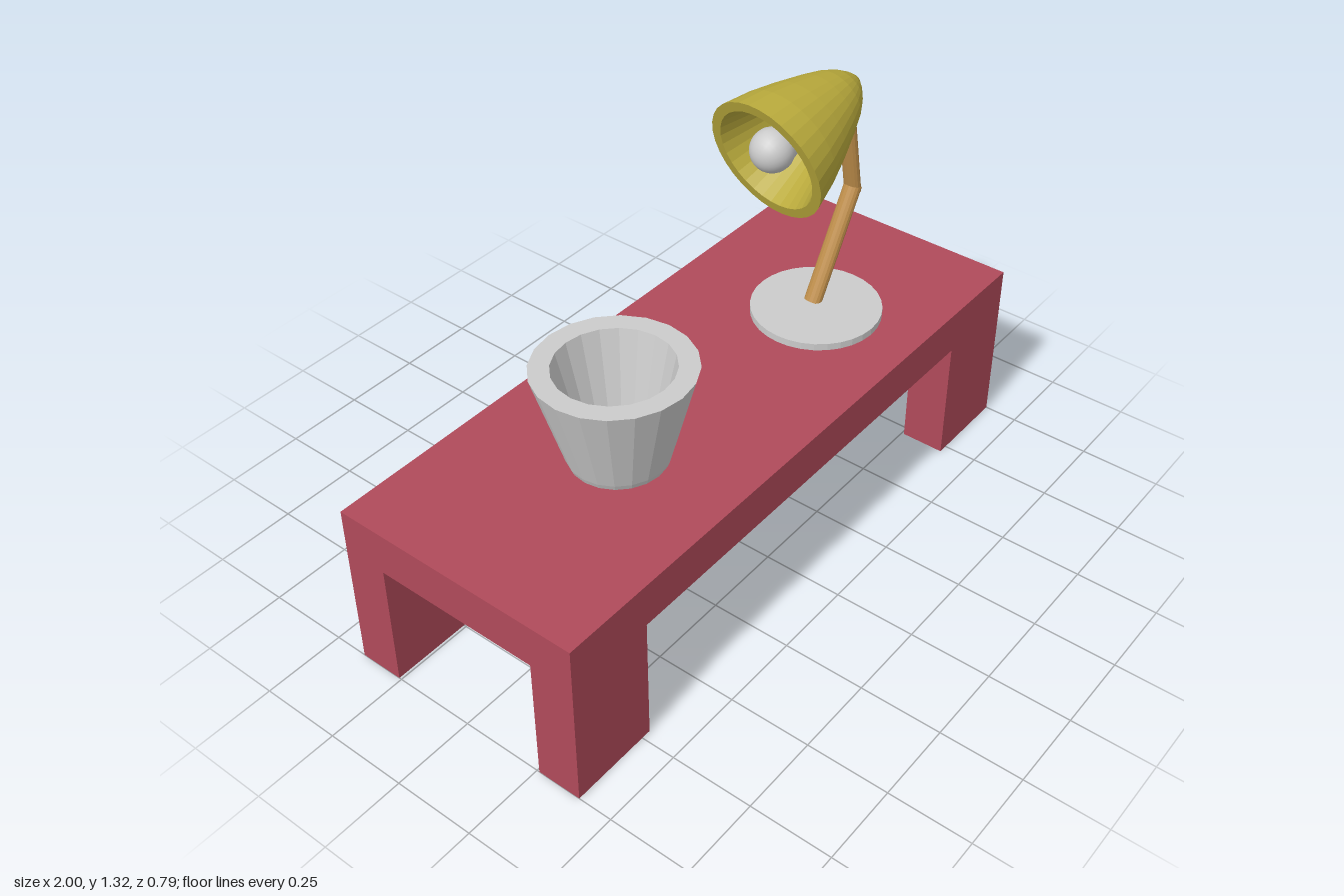
import * as THREE from 'three';

const V = (x, y, z) => new THREE.Vector3(x, y, z);
const UP = V(0, 1, 0);
const mat = (color, flatShading = false) =>
  new THREE.MeshStandardMaterial({ color, flatShading, side: THREE.DoubleSide });

function add(parent, name, geometry, material, x = 0, y = 0, z = 0) {
  const mesh = new THREE.Mesh(geometry, material);
  mesh.name = name;
  mesh.position.set(x, y, z);
  parent.add(mesh);
  return mesh;
}

function group(parent, name) {
  const g = new THREE.Group();
  g.name = name;
  parent.add(g);
  return g;
}

const lathe = (pts, sides) =>
  new THREE.LatheGeometry(pts.map(([r, y]) => new THREE.Vector2(r, y)), sides);

function buildTable(root) {
  const table = group(root, 'table');
  const red = mat(0xb04a5a, true);
  add(table, 'tableTop', new THREE.BoxGeometry(2, 0.135, 0.79), red, 0, 0.4675, 0);
  for (const sx of [-1, 1]) for (const sz of [-1, 1]) {
    add(table, 'tableLeg', new THREE.BoxGeometry(0.28, 0.4, 0.137), red, sx * 0.86, 0.2, sz * 0.3265);
  }
}

function buildCup(root) {
  const cup = group(root, 'cup');
  cup.position.set(-0.4, 0.545, 0.038);
  cup.rotation.x = -0.022;
  // Closed profile: foot, outer wall, rim, inner wall, floor
  add(cup, 'cupBody', lathe([
    [0, 0], [0.138, 0.005], [0.145, 0.022], [0.225, 0.305],
    [0.167, 0.305], [0.11, 0.06], [0, 0.06],
  ], 20), mat(0xcccccc, true));
  // Open ring whose ends sink into the wall
  const points = [];
  for (let i = 0; i <= 12; i++) {
    const a = -1.75 + (i / 12) * 3.2;
    points.push(V(0.19 + 0.079 * Math.cos(a), 0.129 + 0.079 * Math.sin(a), 0));
  }
  const curve = new THREE.CatmullRomCurve3(points);
  add(cup, 'cupHandle', new THREE.TubeGeometry(curve, 28, 0.017, 12), mat(0x0a92a6));
  for (const p of [points[0], points[12]]) {
    add(cup, 'handleEnd', new THREE.SphereGeometry(0.017, 12, 8), mat(0x0a92a6), p.x, p.y, p.z);
  }
}

// Slightly oval rod between two points
function addRod(parent, name, a, b, thin, wide, material) {
  const d = b.clone().sub(a);
  const g = new THREE.CylinderGeometry(1, 1, d.length(), 16);
  g.scale(thin, 1, wide);
  const mid = a.clone().add(b).multiplyScalar(0.5);
  const rod = add(parent, name, g, material, mid.x, mid.y, mid.z);
  rod.quaternion.setFromUnitVectors(UP, d.normalize());
}

function buildLamp(root) {
  const lamp = group(root, 'lamp');
  const wood = mat(0xbd8d4a, true);
  add(lamp, 'lampBase', new THREE.CylinderGeometry(0.197, 0.197, 0.022, 32), mat(0xcccccc, true), 0.48, 0.546, 0.057);
  addRod(lamp, 'lowerArm', V(0.495, 0.55, 0.034), V(0.664, 0.882, 0.044), 0.022, 0.028, wood);
  addRod(lamp, 'upperArm', V(0.664, 0.865, 0.043), V(0.61, 1.147, 0.042), 0.018, 0.028, wood);

  // Head: local +y runs from the opening to the tip
  const head = group(lamp, 'lampHead');
  const mouth = V(0.28, 1.127, 0.003);
  head.position.copy(mouth);
  head.quaternion.setFromUnitVectors(UP, V(0.655, 1.235, 0.04).sub(mouth).normalize());
  // Inner wall, rim, then outer wall to the rounded tip
  add(head, 'lampShade', lathe([
    [0, 0.33], [0.05, 0.3], [0.09, 0.22], [0.125, 0.12], [0.165, 0],
    [0.195, 0], [0.172, 0.09], [0.144, 0.17], [0.112, 0.25], [0.089, 0.3],
    [0.065, 0.338], [0.039, 0.367], [0.017, 0.385], [0, 0.39],
  ], 32), mat(0xb9aa3c, true));
  // Bulb with a neck running back into the shade
  const bulb = group(head, 'bulb');
  bulb.position.set(-0.018, 0.03, 0);
  add(bulb, 'bulbGlass', new THREE.SphereGeometry(0.064, 24, 16), mat(0xcccccc));
  add(bulb, 'bulbNeck', new THREE.CylinderGeometry(0.03, 0.052, 0.16, 20), mat(0xcccccc), 0.008, 0.115, 0);
}

export function createModel() {
  const root = new THREE.Group();
  root.name = 'tableWithCupAndLamp';
  buildTable(root);
  buildCup(root);
  buildLamp(root);
  return root;
}
